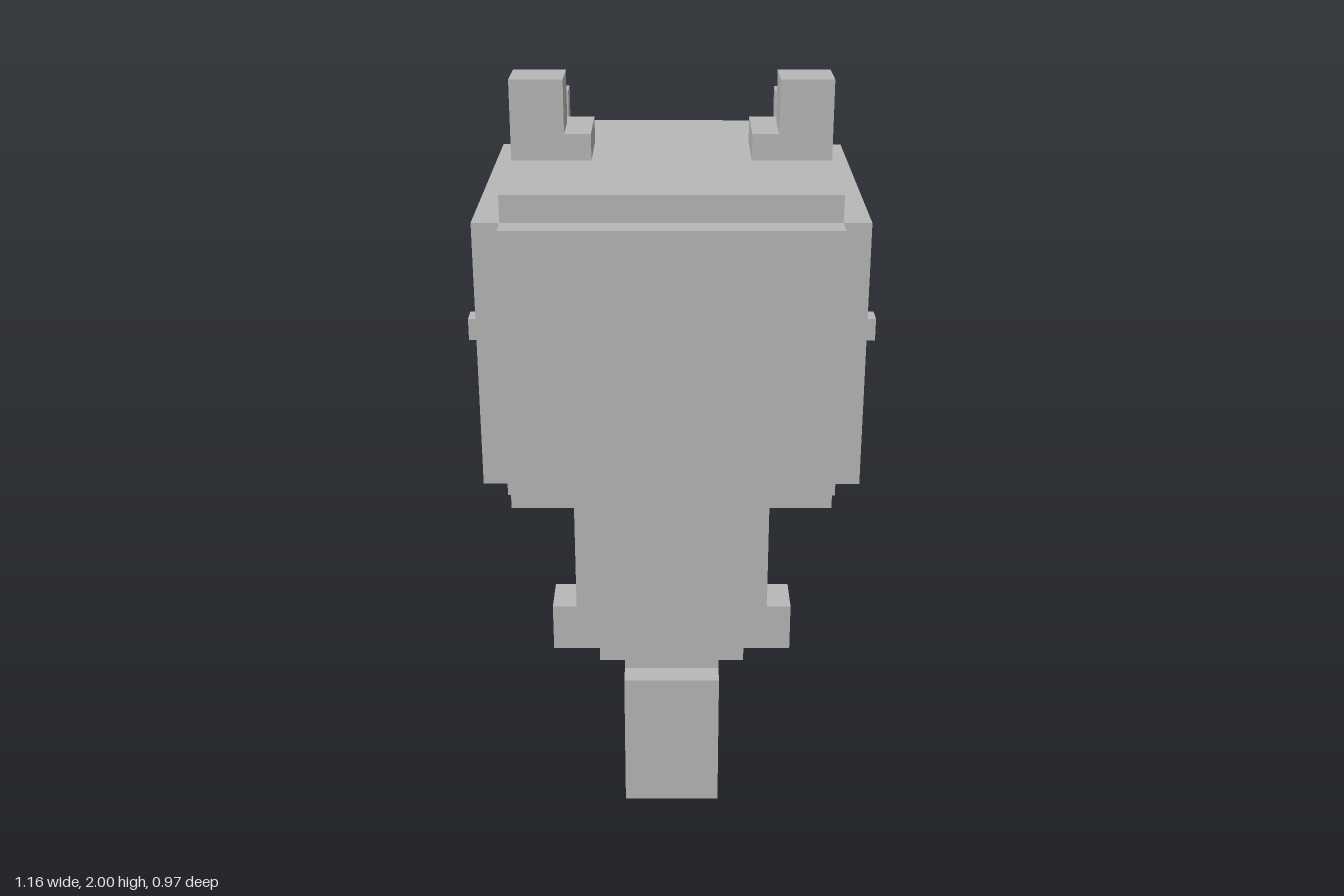
import * as THREE from 'three';

const U = 2 / 31; // one block

export function createModel() {
  const model = new THREE.Group();
  model.name = 'blockFigure';
  const grey = new THREE.MeshStandardMaterial({ color: 0xb8b8b8 });
  grey.name = 'plain grey';

  // Box from minimum and maximum corners, in blocks
  function block(name, [x0, y0, z0], [x1, y1, z1], parent = model) {
    const mesh = new THREE.Mesh(new THREE.BoxGeometry((x1 - x0) * U, (y1 - y0) * U, (z1 - z0) * U), grey);
    mesh.position.set((x0 + x1) / 2 * U, (y0 + y1) / 2 * U, (z0 + z1) / 2 * U);
    mesh.name = name;
    parent.add(mesh);
    return mesh;
  }

  // The same box on both sides
  function pair(name, [x0, y0, z0], [x1, y1, z1], parent = model) {
    block(name + 'Left', [x0, y0, z0], [x1, y1, z1], parent);
    block(name + 'Right', [-x1, y0, z0], [-x0, y1, z1], parent);
  }

  function group(name) {
    const g = new THREE.Group();
    g.name = name;
    model.add(g);
    return g;
  }

  // Head: a cube with a raised panel on each upright side
  const head = group('head');
  block('headCore', [-6, 16, -5.5], [6, 28, 6.5], head);
  block('frontPanel', [-6, 17, 6.5], [6, 27, 7.5], head);
  block('backPanel', [-6, 17, -6.5], [6, 27, -5.5], head);
  pair('sidePanel', [6, 17, -5.5], [7, 27, 6.5], head);
  pair('whisker', [5, 18, -7.5], [9, 19, -6.5], head);

  // Stepped patch low on the back panel
  const patch = group('backPatch');
  for (const [half, y0, y1] of [[1.5, 17.75, 18.25], [2, 18.25, 19.25], [1.5, 19.25, 19.75], [1, 19.75, 20.25]]) {
    block('patchRow', [-half, y0, -6.53], [half, y1, -6.5], patch);
  }

  // Ears
  const ears = group('ears');
  pair('earBase', [3, 28, -1.5], [6, 29, 1.5], ears);
  pair('earTip', [4, 29, -0.5], [6, 31, 1.5], ears);
  pair('earPost', [4, 28, -2.5], [5, 30, -1.5], ears);

  // Neck, torso, chest strip and back pack
  block('neck', [-1, 15, -0.5], [1, 16, 1.5]);
  block('torso', [-3, 7, -1.5], [3, 15, 2.5]);
  block('chestStrip', [-1, 10, 2.5], [1, 16, 3.5]);
  block('chestStripTop', [-1, 15, 3.5], [1, 16, 5.5]);
  block('backPack', [-2, 10, -2.5], [2, 14, -1.5]);

  // Arms
  const arms = group('arms');
  pair('arm', [3, 7, -0.5], [4, 15, 1.5], arms);
  pair('hand', [4, 7, -0.5], [5, 9, 1.5], arms);

  // Hips, leg block and heel
  block('hips', [-2, 6, -0.5], [2, 7, 1.5]);
  block('legs', [-2, 0, -1.5], [2, 6, 2.5]);
  block('heel', [-2, 0, -2.5], [2, 3, -1.5]);

  return model;
}
